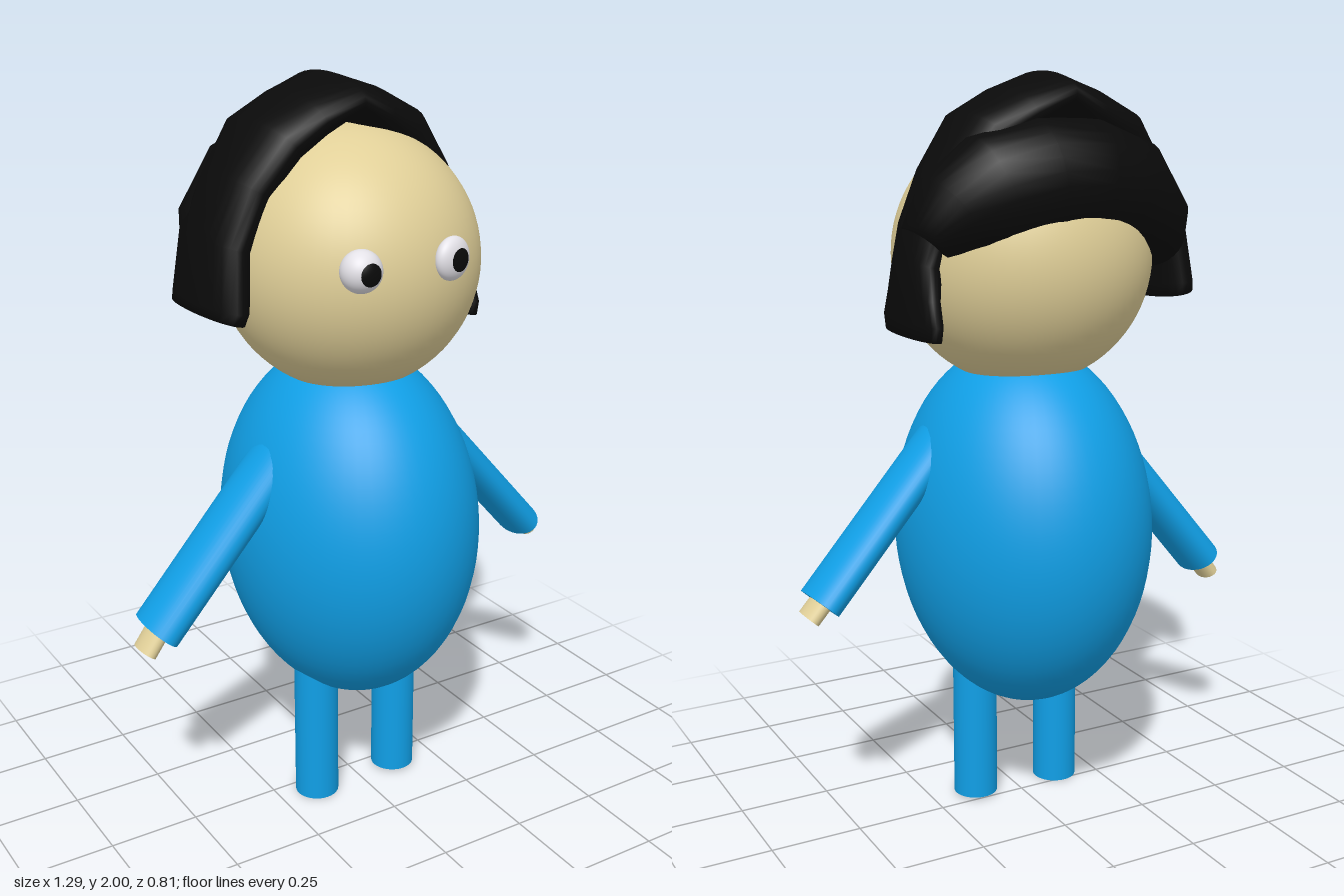
import * as THREE from 'three';

const mat = (name, color) => {
  const m = new THREE.MeshStandardMaterial({ color });
  m.name = name;
  return m;
};

// Lofts elliptical sections [x, y, z, half width in z, half thickness] along a path in the xy plane
function loft(sections, sides = 28) {
  const pos = [], idx = [], last = sections.length - 1;
  sections.forEach(([x, y, z, w, t], i) => {
    const p = sections[Math.max(i - 1, 0)], q = sections[Math.min(i + 1, last)];
    const n = new THREE.Vector2(p[1] - q[1], q[0] - p[0]).normalize();
    for (let j = 0; j < sides; j++) {
      const a = (j / sides) * Math.PI * 2, s = Math.sin(a) * t;
      pos.push(x + n.x * s, y + n.y * s, z + Math.cos(a) * w);
    }
  });
  const first = pos.length / 3;
  pos.push(...sections[0].slice(0, 3), ...sections[last].slice(0, 3));
  for (let j = 0; j < sides; j++) {
    const k = (j + 1) % sides;
    for (let i = 0; i < last; i++) {
      const a = i * sides, b = a + sides;
      idx.push(a + j, b + j, a + k, b + j, b + k, a + k);
    }
    idx.push(first, j, k, first + 1, last * sides + k, last * sides + j);
  }
  const g = new THREE.BufferGeometry();
  g.setAttribute('position', new THREE.Float32BufferAttribute(pos, 3));
  g.setIndex(idx);
  g.computeVertexNormals();
  return g;
}

export function createModel() {
  const blue = mat('blue cloth', 0x109fe6);
  const skin = mat('skin', 0xe0cf98);
  const black = mat('black', 0x0a0a0a);
  const white = mat('eye white', 0xe8e6ec);
  const model = new THREE.Group();
  model.name = 'figure';

  const add = (name, geometry, material, parent = model) => {
    const m = new THREE.Mesh(geometry, material);
    m.name = name;
    parent.add(m);
    return m;
  };
  const ball = (name, material, [x, y, z], [rx, ry, rz]) => {
    const m = add(name, new THREE.SphereGeometry(1, 56, 40), material);
    m.position.set(x, y, z);
    m.scale.set(rx, ry, rz);
    return m;
  };
  // Oval rod between two points: r across, rz in depth
  const rod = (name, material, from, to, r, rz) => {
    const a = new THREE.Vector3(...from), b = new THREE.Vector3(...to);
    const m = add(name, new THREE.CylinderGeometry(1, 1, a.distanceTo(b), 36), material);
    m.position.copy(a).add(b).multiplyScalar(0.5);
    m.quaternion.setFromUnitVectors(new THREE.Vector3(0, 1, 0), a.sub(b).normalize());
    m.scale.set(r, 1, rz);
  };

  // Body and head
  ball('body', blue, [0, 0.8, 0], [0.335, 0.5, 0.405]);
  ball('head', skin, [0, 1.535, 0], [0.342, 0.345, 0.346]);

  // Legs
  rod('rightLeg', blue, [-0.135, 0.45, 0.05], [-0.135, 0, 0.05], 0.061, 0.061);
  rod('leftLeg', blue, [0.122, 0.45, 0.05], [0.122, 0.008, 0.05], 0.061, 0.061);

  // Arms and hands
  rod('leftArm', blue, [0.2, 1.095, 0.03], [0.593, 0.663, 0], 0.05, 0.088);
  rod('leftHand', skin, [0.57, 0.688, 0], [0.624, 0.627, 0], 0.027, 0.045);
  rod('rightArm', blue, [-0.2, 1.085, 0.03], [-0.588, 0.613, 0], 0.055, 0.088);
  rod('rightHand', skin, [-0.57, 0.635, 0], [-0.624, 0.56, 0], 0.027, 0.045);

  // Eyes with pupil caps
  const eye = (side, position, radii, turn) => {
    const white1 = ball(side + 'Eye', white, position, radii);
    white1.rotation.y = turn;
    const cap = new THREE.SphereGeometry(1.04, 24, 8, 0, Math.PI * 2, 0, 0.54).rotateX(Math.PI / 2);
    add(side + 'Pupil', cap, black, white1);
  };
  eye('right', [-0.16, 1.585, 0.318], [0.053, 0.053, 0.05], 0);
  eye('left', [0.09, 1.588, 0.335], [0.055, 0.055, 0.03], 0.25);

  // Hair: a broad band over the head ending in two side locks
  add('hairBand', loft([
    [-0.38, 1.43, -0.055, 0.165, 0.062],
    [-0.372, 1.46, -0.055, 0.175, 0.062],
    [-0.355, 1.61, -0.055, 0.15, 0.065],
    [-0.29, 1.74, -0.055, 0.14, 0.07],
    [-0.215, 1.85, -0.05, 0.17, 0.07],
    [-0.12, 1.9, -0.06, 0.165, 0.065],
    [-0.03, 1.945, -0.05, 0.182, 0.055],
    [0.07, 1.9, -0.06, 0.165, 0.065],
    [0.16, 1.85, -0.06, 0.155, 0.07],
    [0.24, 1.73, -0.055, 0.13, 0.07],
    [0.3, 1.61, -0.05, 0.11, 0.06],
    [0.325, 1.53, -0.05, 0.105, 0.05],
    [0.335, 1.45, -0.05, 0.135, 0.04],
    [0.338, 1.39, -0.05, 0.162, 0.037],
    [0.338, 1.352, -0.05, 0.155, 0.033],
  ]), black);

  // Hair: a fuller roll across the back of the head
  add('backHair', loft([
    [-0.36, 1.53, -0.1, 0.1, 0.06],
    [-0.31, 1.6, -0.14, 0.13, 0.11],
    [-0.2, 1.69, -0.18, 0.135, 0.15],
    [-0.08, 1.73, -0.2, 0.145, 0.155],
    [0.06, 1.73, -0.2, 0.147, 0.16],
    [0.18, 1.7, -0.18, 0.138, 0.155],
    [0.27, 1.65, -0.15, 0.13, 0.12],
    [0.33, 1.59, -0.11, 0.1, 0.06],
  ]), black);

  return model;
}
